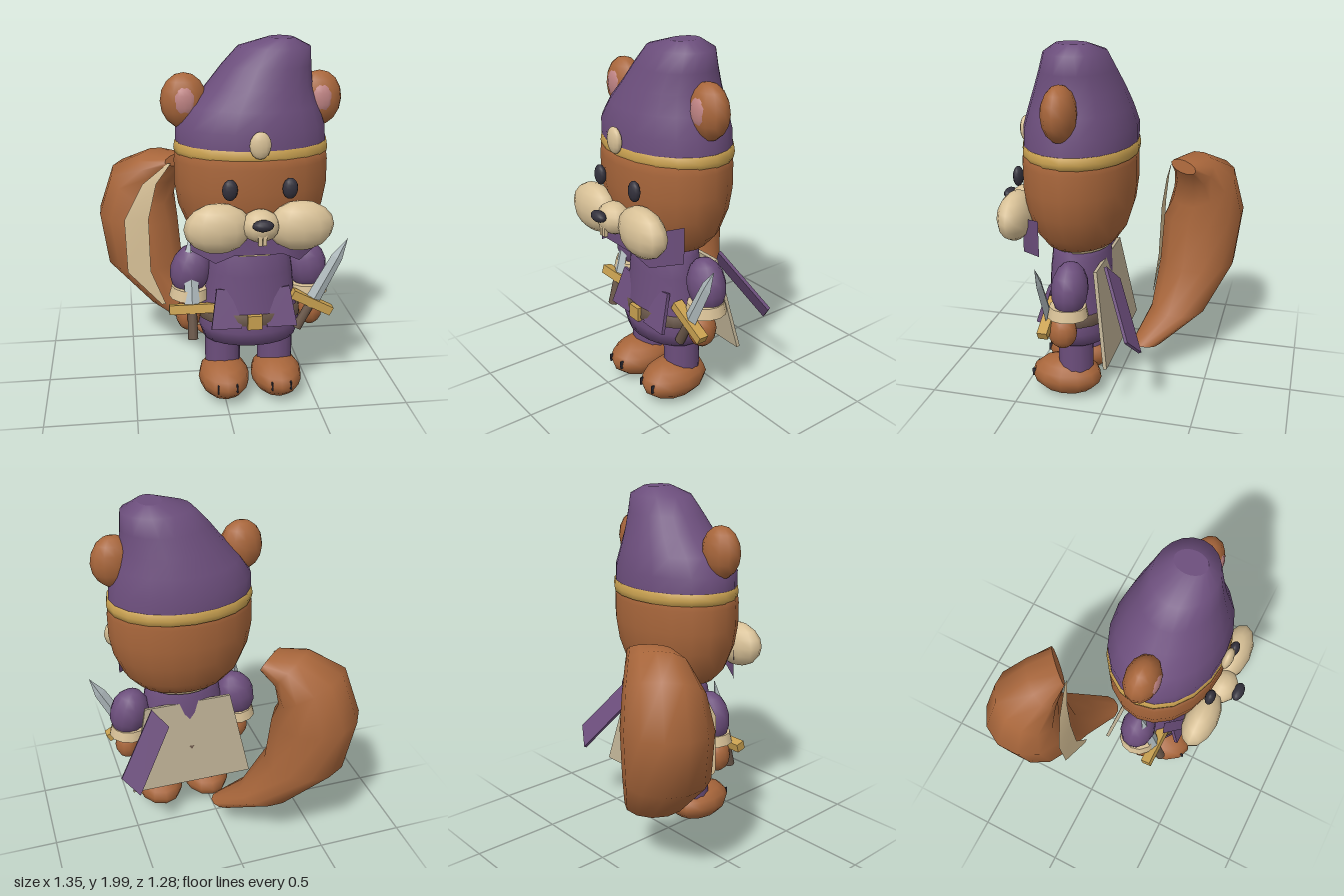
import * as THREE from 'three';

const mat = (name, color) => new THREE.MeshStandardMaterial({ name, color });

export function createModel() {
  const M = {
    fur: mat('fur brown', 0xa8663b), cloth: mat('cloth purple', 0x6c4e7c),
    cream: mat('cream', 0xd8c197), gold: mat('gold', 0xc8a050),
    dark: mat('dark', 0x33313c), pink: mat('ear pink', 0xc08484),
    steel: mat('steel', 0xb4bfc2), leather: mat('leather', 0x6a5749),
    parchment: mat('parchment', 0xbdb094),
  };
  M.cloth.side = M.cream.side = THREE.DoubleSide;
  const model = new THREE.Group();
  model.name = 'model';
  const CX = 0.15, CZ = 0.19;

  const add = (name, geo, material, pos = [0, 0, 0], rot = [0, 0, 0], parent = model) => {
    const m = new THREE.Mesh(geo, material);
    m.name = name;
    m.position.set(...pos);
    m.rotation.set(...rot);
    parent.add(m);
    return m;
  };
  const ball = (name, material, pos, r, rot, w = 12, h = 8) =>
    add(name, new THREE.SphereGeometry(1, w, h).scale(...r), material, pos, rot);
  const box = (name, material, size, pos, rot, parent) =>
    add(name, new THREE.BoxGeometry(...size), material, pos, rot, parent);
  // elliptical lathe around the body axis
  const turned = (name, material, pts, sx, sz, z = CZ) =>
    add(name, new THREE.LatheGeometry(pts.map(p => new THREE.Vector2(...p)), 20).scale(sx, 1, sz), material, [CX, 0, z]);
  // flat outlined board
  const plate = (name, material, pts, depth, pos, tilt) =>
    add(name, new THREE.ExtrudeGeometry(new THREE.Shape(pts.map(p => new THREE.Vector2(...p))),
      { depth, bevelEnabled: false }), material, pos, [tilt, 0, 0]);
  // skin over rings that run counter-clockwise seen against the sweep, with end caps
  const loft = rings => {
    const n = rings[0].length, pos = [], idx = [];
    rings.forEach(r => r.forEach(p => pos.push(p.x, p.y, p.z)));
    for (let i = 0; i < rings.length - 1; i++) for (let j = 0; j < n; j++) {
      const a = i * n + j, b = i * n + (j + 1) % n;
      idx.push(a, b, b + n, a, b + n, a + n);
    }
    [rings[0], rings[rings.length - 1]].forEach((r, end) => {
      const base = pos.length / 3;
      r.forEach(p => pos.push(p.x, p.y, p.z));
      for (let j = 1; j < n - 1; j++)
        idx.push(base, base + (end ? j : j + 1), base + (end ? j + 1 : j));
    });
    const g = new THREE.BufferGeometry();
    g.setAttribute('position', new THREE.Float32BufferAttribute(pos, 3));
    g.setIndex(idx);
    g.computeVertexNormals();
    return g;
  };
  // open strip between two edges: rows of [ax, ay, az, bx, by, bz]
  const strip = rows => {
    const idx = [];
    for (let i = 0; i < rows.length - 1; i++) {
      const a = i * 2;
      idx.push(a, a + 1, a + 3, a, a + 3, a + 2);
    }
    const g = new THREE.BufferGeometry();
    g.setAttribute('position', new THREE.Float32BufferAttribute(rows.flat(), 3));
    g.setIndex(idx);
    g.computeVertexNormals();
    return g;
  };

  // head
  turned('head', M.fur, [[0, 0.92], [0.64, 0.92], [0.82, 1.0], [0.95, 1.13], [1.0, 1.25], [1.0, 1.38], [0.97, 1.46], [0, 1.46]], 0.41, 0.305);

  // leaning hat: y, centre x, radius x, centre z, radius z
  const hat = [
    [1.45, 0.15, 0.4, 0.185, 0.3], [1.56, 0.145, 0.395, 0.185, 0.3], [1.66, 0.16, 0.345, 0.183, 0.27],
    [1.76, 0.19, 0.28, 0.18, 0.235], [1.86, 0.225, 0.237, 0.18, 0.195],
    [1.955, 0.265, 0.19, 0.18, 0.16], [2.0, 0.3, 0.065, 0.185, 0.085],
  ].map(([y, cx, rx, cz, rz]) => Array.from({ length: 20 }, (_, i) => {
    const t = -i / 20 * Math.PI * 2;
    return new THREE.Vector3(cx + rx * Math.cos(t), y, cz + rz * Math.sin(t));
  }));
  add('hat', loft(hat), M.cloth);
  turned('hatBand', M.gold, [[0.96, 1.41], [1, 1.41], [1.015, 1.44], [1, 1.475], [0.96, 1.475]], 0.405, 0.303, 0.184);
  ball('hatGem', M.cream, [0.147, 1.51, 0.503], [0.055, 0.07, 0.028]);

  // muzzle and teeth
  ball('muzzle', M.cream, [CX, 1.1, 0.52], [0.1, 0.085, 0.085]);
  ball('nose', M.dark, [0.148, 1.13, 0.612], [0.055, 0.03, 0.032]);
  // rising neckerchief below the cheeks
  add('neckerchief', strip([[-0.19, 1.11, 0.33], [-0.07, 1.07, 0.46], [0.02, 1.06, 0.49], [0.28, 1.06, 0.49], [0.37, 1.07, 0.46], [0.49, 1.11, 0.33]]
    .map(([x, y, z], i) => [x, y, z, x, [0.91, 0.88, 0.93, 0.93, 0.88, 0.91][i], z])), M.cloth);

  // tunic, collar and belt
  turned('tunic', M.cloth, [[0, 0.355], [0.26, 0.355], [0.285, 0.43], [0.275, 0.5], [0.25, 0.62], [0.238, 0.75], [0.22, 0.86], [0.19, 0.9], [0, 0.9]], 1, 0.71, 0.195);
  turned('neckRing', M.cream, [[0, 0.885], [0.2, 0.885], [0.19, 0.925], [0, 0.925]], 1, 0.8);
  box('neckTrim', M.cream, [0.17, 0.012, 0.01], [CX, 0.88, 0.36]);
  turned('belt', M.leather, [[0.26, 0.48], [0.288, 0.48], [0.282, 0.54], [0.26, 0.54]], 1, 0.71, 0.195);
  box('buckle', M.gold, [0.08, 0.08, 0.025], [CX, 0.505, 0.4]);

  // mirrored parts
  for (const s of [-1, 1]) {
    const side = s < 0 ? 'right' : 'left';
    const X = d => CX + s * d;
    ball(side + 'Ear', M.fur, [X(0.355), 1.685, 0.195], [0.122, 0.145, 0.09]);
    ball(side + 'InnerEar', M.pink, [X(0.355), 1.69, 0.255], [0.064, 0.08, 0.032]);
    ball(side + 'Eye', M.dark, [X(0.153), 1.285, 0.498], [0.04, 0.055, 0.027]);
    ball(side + 'Cheek', M.cream, [X(0.213), 1.085, 0.495], [0.175, 0.132, 0.092]);
    box(side + 'Tooth', M.cream, [0.02, 0.065, 0.02], [X(0.012), 1.05, 0.585]);

    ball(side + 'Sleeve', M.cloth, [X(0.325), 0.74, 0.17], [0.115, 0.148, 0.1], [0, 0, s * 0.25]);
    add(side + 'Cuff', new THREE.CylinderGeometry(0.1, 0.112, 0.06, 12), M.cream, [X(0.335), 0.615, 0.18], [0, 0, s * 0.06]);
    ball(side + 'Hand', M.fur, [X(0.345), 0.49, 0.21], [0.07, 0.095, 0.08]);

    add(side + 'Leg', new THREE.CylinderGeometry(0.1, 0.1, 0.22, 12), M.cloth, [X(0.15), 0.29, 0.197]);
    ball(side + 'Foot', M.fur, [X(0.15), 0.118, 0.253], [0.144, 0.112, 0.203]);
    for (const c of [-0.052, 0.052])
      box(side + 'Claw', M.dark, [0.007, 0.045, 0.02], [X(0.15) + c, 0.125, 0.435]);

    plate(side + 'Lapel', M.cloth, [[0.2, 0.22], [0.06, 0.2], [0.07, 0], [0.235, 0]].map(([x, y]) => [s * x, y]),
      0.02, [CX, 0.465, 0.378], -0.3);
  }

  // daggers, origin at the guard
  const dagger = (name, pos, rot) => {
    const g = new THREE.Group();
    g.name = name;
    g.position.set(...pos);
    g.rotation.set(...rot);
    model.add(g);
    const outline = [[0.02, 0.042], [0.29, 0.034], [0.41, 0.001]];
    const blade = outline.map(([y, w]) => [1, 0, -1, 0].map((c, i) =>
      new THREE.Vector3(c * w, y, [0, -1, 0, 1][i] * w * 0.45)));
    const geo = loft(blade).toNonIndexed();
    geo.computeVertexNormals();
    add('blade', geo, M.steel, undefined, undefined, g);
    box('guard', M.gold, [0.25, 0.05, 0.055], [0, 0, 0], undefined, g);
    add('grip', new THREE.CylinderGeometry(0.026, 0.028, 0.15, 8), M.leather, [0, -0.095, 0], undefined, g);
  };
  dagger('rightDagger', [-0.18, 0.555, 0.29], [-0.25, 0, 0]);
  dagger('leftDagger', [0.485, 0.56, 0.29], [0, 0, -0.48]);

  // back panel and loose sash
  plate('backPanel', M.parchment, [[-0.35, 0], [0.37, 0], [0.26, 0.52], [-0.25, 0.52]], 0.02, [CX, 0.305, -0.04], 0.155);
  plate('sash', M.cloth, [[0.517, 0], [0.607, 0.114], [0.38, 0.467], [0.297, 0.353]], 0.018, [0, 0.435, -0.23], 0.5);

  // tail: x, y, z, depth radius, width radius, tilt; it bulges out diagonally and curls back
  const u = new THREE.Vector3(-Math.SQRT1_2, 0, -Math.SQRT1_2);
  const v = new THREE.Vector3(Math.SQRT1_2, 0, -Math.SQRT1_2);
  const up = new THREE.Vector3(0, 1, 0);
  const tail = [
    [-0.015, 0.205, -0.145, 0.085, 0.085, 0], [-0.215, 0.36, -0.295, 0.16, 0.165, 0],
    [-0.405, 0.61, -0.375, 0.225, 0.23, 0], [-0.44, 0.9, -0.4, 0.24, 0.24, 0.1],
    [-0.41, 1.09, -0.395, 0.2, 0.21, 0.6], [-0.31, 1.2, -0.35, 0.115, 0.165, 0.95],
    [-0.2, 1.245, -0.305, 0.035, 0.12, 1.2],
  ].map(([x, y, z, a, b, tilt]) => Array.from({ length: 12 }, (_, i) => {
    const t = i / 12 * Math.PI * 2;
    return new THREE.Vector3(x, y, z)
      .addScaledVector(v, b * Math.cos(t))
      .addScaledVector(u, a * Math.sin(t) * Math.cos(tilt))
      .addScaledVector(up, a * Math.sin(t) * Math.sin(tilt));
  }));
  add('tail', loft(tail), M.fur);
  // pale stripe on the tail: y, left x, right x, z
  add('tailStripe', strip([[0.4, -0.325, -0.3, -0.12], [0.61, -0.52, -0.385, -0.135], [0.93, -0.53, -0.39, -0.148], [1.13, -0.42, -0.34, -0.185], [1.24, -0.27, -0.25, -0.225]]
    .map(([y, l, r, z]) => [l, y, z, r, y, z])), M.cream);

  return model;
}
